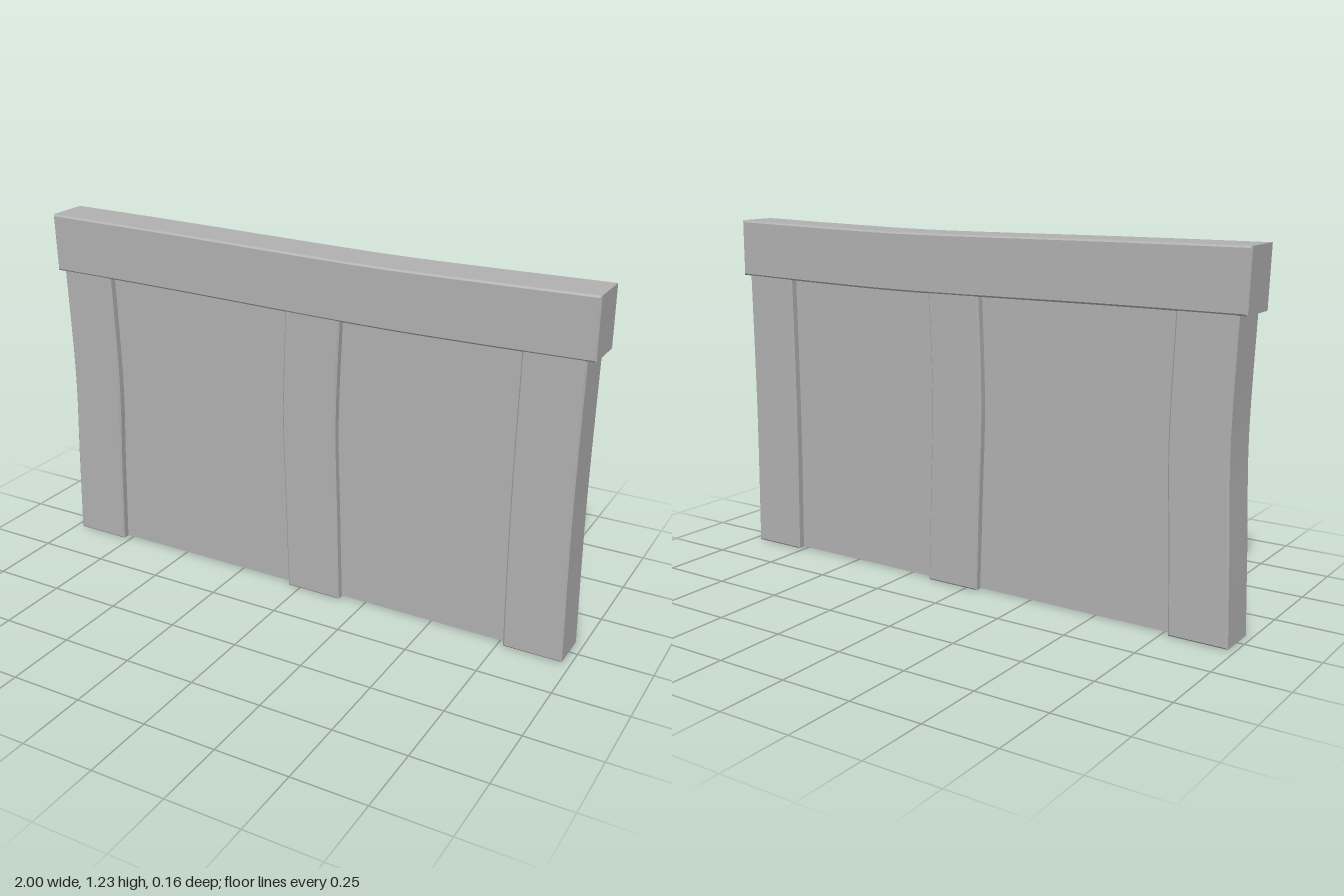
import * as THREE from 'three';
import { toCreasedNormals } from 'three/addons/utils/BufferGeometryUtils.js';

const stone = new THREE.MeshStandardMaterial({ color: 0xb0b0b0 });
stone.name = 'grey stone';

// Smooth curve through a few [x, y] points
function curvePoints(points, count = 16) {
  return new THREE.SplineCurve(points.map(([x, y]) => new THREE.Vector2(x, y))).getPoints(count);
}

// Block with a warped outline (two curved sides) and slightly bevelled edges
function warpedBlock(name, sideA, sideB, halfDepth, bevel = 0.006) {
  const shape = new THREE.Shape([...curvePoints(sideA), ...curvePoints(sideB).reverse()]);
  const depth = 2 * (halfDepth - bevel);
  const geometry = new THREE.ExtrudeGeometry(shape, {
    depth,
    bevelEnabled: true,
    bevelThickness: bevel,
    bevelSize: bevel,
    bevelOffset: -bevel,
    bevelSegments: 1,
  });
  geometry.translate(0, 0, -depth / 2);
  const mesh = new THREE.Mesh(toCreasedNormals(geometry, 0.5), stone);
  mesh.name = name;
  return mesh;
}

export function createModel() {
  const group = new THREE.Group();
  group.name = 'lowWall';

  // Three bowed posts: spine as [x, y] points, constant width
  const posts = {
    rightPost: [[-0.875, 0], [-0.866, 0.3], [-0.855, 0.64], [-0.867, 1.04]],
    middlePost: [[0.056, 0], [0.046, 0.33], [0.037, 0.66], [0.05, 1.04]],
    leftPost: [[0.87, 0], [0.864, 0.5], [0.869, 1.04]],
  };
  const halfWidth = 0.101;
  for (const [name, spine] of Object.entries(posts)) {
    const shifted = (dx) => spine.map(([x, y]) => [x + dx, y]);
    group.add(warpedBlock(name, shifted(halfWidth), shifted(-halfWidth), 0.075));
  }

  // Recessed panel running behind all posts
  const panel = new THREE.Mesh(new THREE.BoxGeometry(1.7, 1.035, 0.094), stone);
  panel.name = 'panel';
  panel.position.y = 0.5195;
  group.add(panel);

  // Sagging cap beam along the top
  const capBottom = [[-0.994, 1.03], [-0.5, 1.027], [0.2, 1.017], [0.6, 1.02], [0.997, 1.028]];
  const capTop = [[-1, 1.233], [-0.5, 1.228], [0.2, 1.218], [0.6, 1.222], [0.997, 1.23]];
  group.add(warpedBlock('capBeam', capBottom, capTop, 0.08));

  return group;
}
